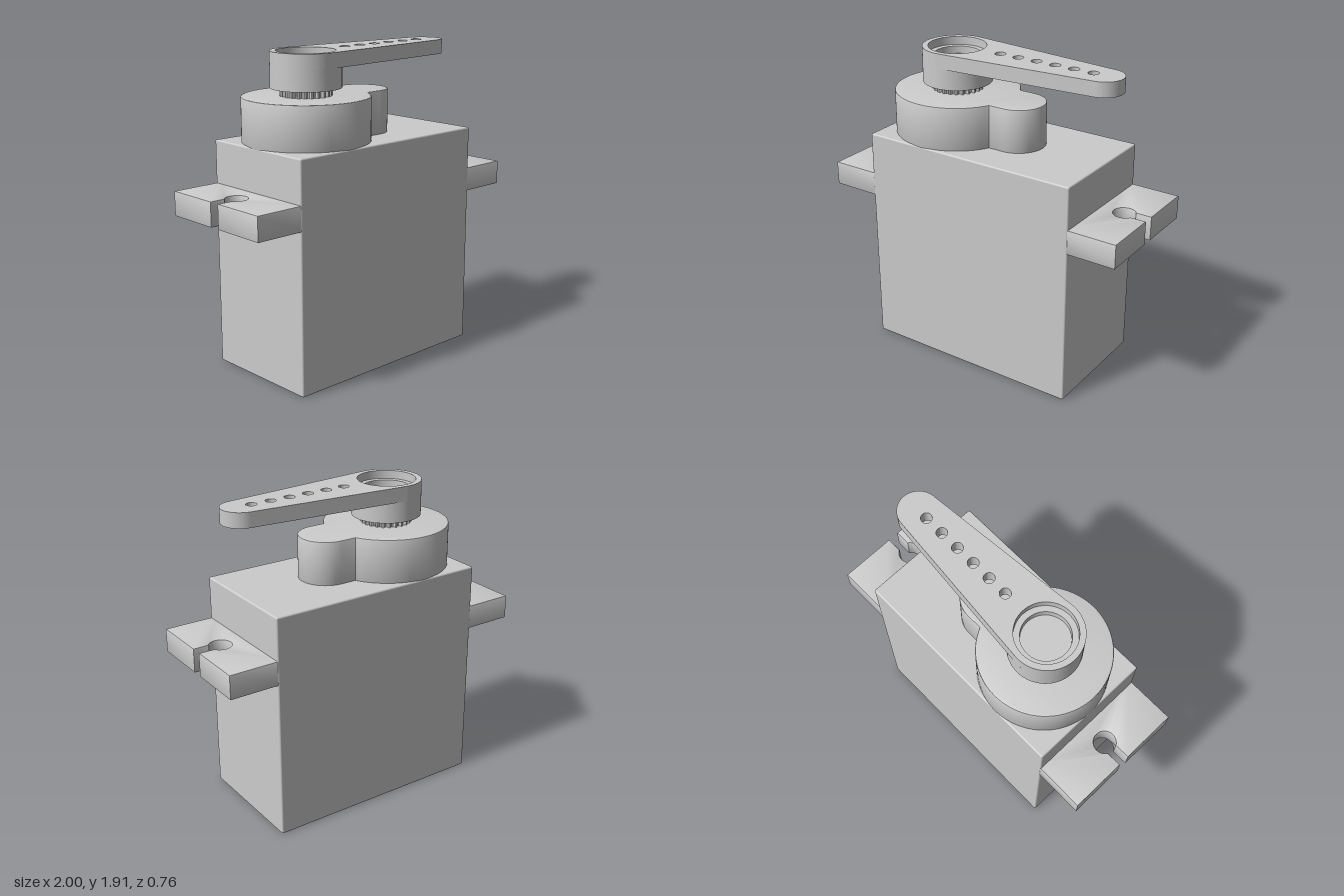
import * as THREE from 'three';
import { toCreasedNormals } from 'three/addons/utils/BufferGeometryUtils.js';
import { RoundedBoxGeometry } from 'three/addons/geometries/RoundedBoxGeometry.js';

const material = new THREE.MeshStandardMaterial({ color: 0xcccccc });
const AXIS = -0.32; // x of the output shaft

function add(parent, name, geometry) {
  const mesh = new THREE.Mesh(geometry, material);
  mesh.name = name;
  parent.add(mesh);
  return mesh;
}

// Extrudes a plan outline upward from y0 to y1, with a small edge bevel
function slab(shape, y0, y1, bevel = 0) {
  const geometry = new THREE.ExtrudeGeometry(shape, {
    depth: y1 - y0 - 2 * bevel,
    bevelEnabled: bevel > 0,
    bevelSize: bevel,
    bevelThickness: bevel,
    bevelOffset: -bevel,
    bevelSegments: 2,
    curveSegments: 40,
  });
  geometry.rotateX(-Math.PI / 2).translate(0, y0 + bevel, 0);
  return toCreasedNormals(geometry, 0.6);
}

function circleHole(x, r) {
  return new THREE.Path().absarc(x, 0, r, 0, Math.PI * 2, true);
}

// Mounting ear with a keyhole slot opening at its outer end
function earShape() {
  const w = 0.38, slit = 0.033, r = 0.066, cx = 0.845;
  const a = Math.asin(slit / r);
  const s = new THREE.Shape();
  s.moveTo(0.66, -w);
  s.lineTo(1, -w);
  s.lineTo(1, -slit);
  s.absarc(cx, 0, r, -a, a, true);
  s.lineTo(1, slit);
  s.lineTo(1, w);
  s.lineTo(0.66, w);
  s.closePath();
  return s;
}

// Large gear dome merged with the smaller round-ended one
function gearHousingShape() {
  const R = 0.38, r = 0.165, cx = 0.12;
  const a = Math.asin(r / R);
  const s = new THREE.Shape();
  s.absarc(AXIS, 0, R, a, Math.PI * 2 - a, false);
  s.absarc(cx, 0, r, -Math.PI / 2, Math.PI / 2, false);
  s.closePath();
  return s;
}

// Tapered lever: two circles joined by their common tangents
function armShape() {
  const R = 0.21, r = 0.12, tip = 0.675;
  const a = Math.acos((R - r) / (tip - AXIS));
  const s = new THREE.Shape();
  s.absarc(AXIS, 0, R, a, Math.PI * 2 - a, false);
  s.absarc(tip, 0, r, -a, a, false);
  s.closePath();
  s.holes.push(circleHole(AXIS, 0.175));
  for (let i = 0; i < 6; i++) s.holes.push(circleHole(-0.01 + i * 0.124, 0.032));
  return s;
}

// Toothed outline of the output shaft
function splineShape(teeth = 24) {
  const s = new THREE.Shape();
  const points = [];
  for (let i = 0; i < teeth * 4; i++) {
    const r = i % 4 < 2 ? 0.155 : 0.139;
    const a = (i / (teeth * 4)) * Math.PI * 2;
    points.push(new THREE.Vector2(r * Math.cos(a), r * Math.sin(a)));
  }
  return s.setFromPoints(points);
}

export function createModel() {
  const model = new THREE.Group();
  model.name = 'servoMotor';

  // Case
  add(model, 'caseBody', new RoundedBoxGeometry(1.4, 1.39, 0.765, 3, 0.01))
    .position.y = 0.695;

  // Mounting ears
  for (const side of [1, -1]) {
    const ear = add(model, side > 0 ? 'leftEar' : 'rightEar',
      slab(earShape(), 0.98, 1.13, 0.006));
    if (side < 0) ear.rotation.y = Math.PI;
  }

  // Gear housing on top of the case
  add(model, 'gearHousing', slab(gearHousingShape(), 1.375, 1.655, 0.008));

  // Splined output shaft and its core, seen inside the hub
  const shaft = new THREE.Group();
  shaft.name = 'outputShaft';
  shaft.position.x = AXIS;
  model.add(shaft);
  add(shaft, 'spline', slab(splineShape(), 1.64, 1.715));
  add(shaft, 'shaftCore', new THREE.CylinderGeometry(0.139, 0.139, 0.17, 48))
    .position.y = 1.735;

  // Horn: stepped hub and perforated arm
  const horn = new THREE.Group();
  horn.name = 'horn';
  model.add(horn);
  const hubProfile = [
    [0.138, 1.7], [0.21, 1.7], [0.21, 1.825], [0.176, 1.825],
    [0.176, 1.865], [0.14, 1.865], [0.138, 1.7],
  ].map(([x, y]) => new THREE.Vector2(x, y));
  add(horn, 'hornHub', toCreasedNormals(new THREE.LatheGeometry(hubProfile, 64), 0.6))
    .position.x = AXIS;
  add(horn, 'hornArm', slab(armShape(), 1.825, 1.915));

  return model;
}
